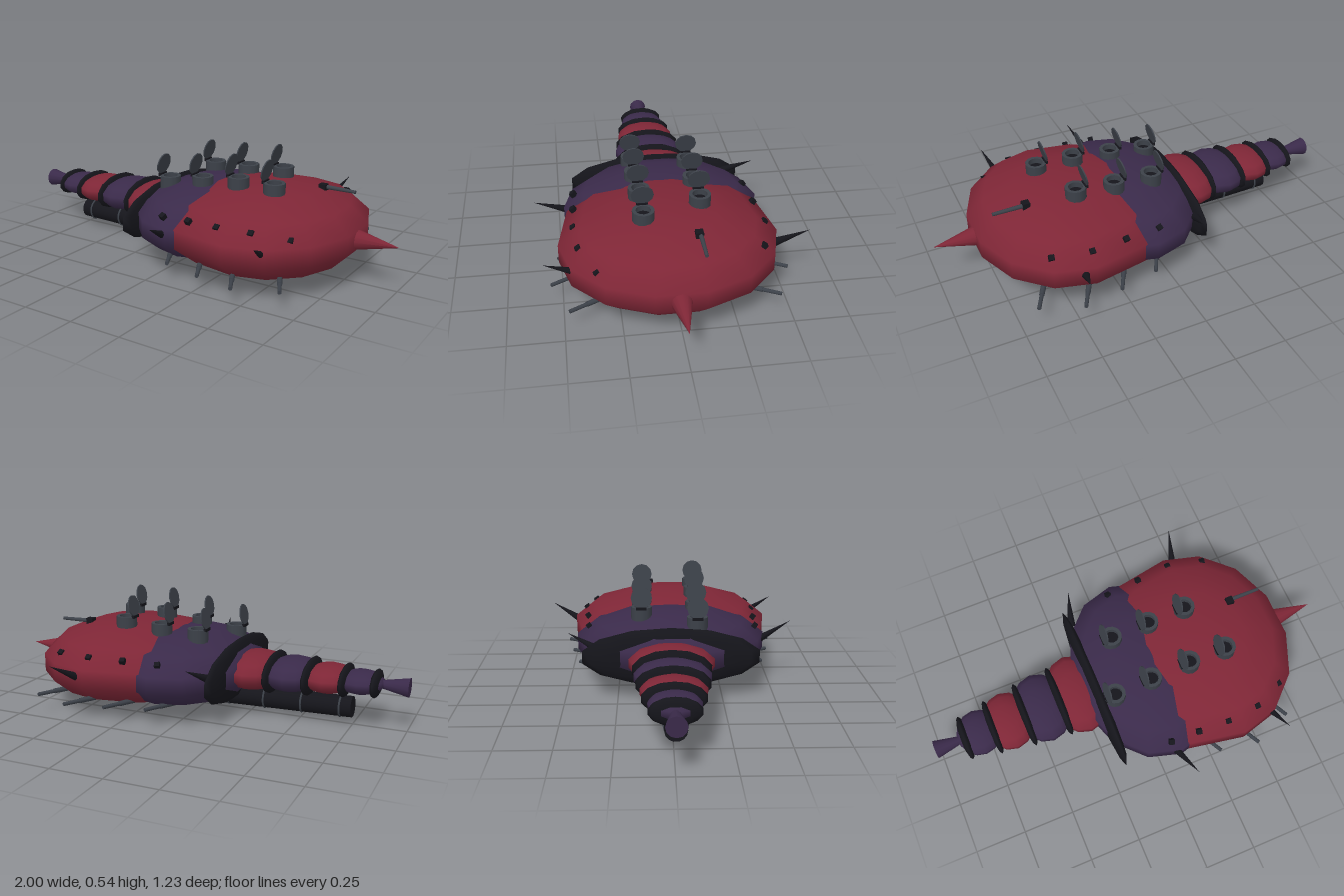
import * as THREE from 'three';

const mat = (color, side = THREE.FrontSide) => new THREE.MeshStandardMaterial({ color, side });
const RED = mat(0x7e2636), PURPLE = mat(0x3a2a4a), BLACK = mat(0x15151b);
const GREY = mat(0x3c4149, THREE.DoubleSide);
const V = (x, y, z) => new THREE.Vector3(x, y, z);

export function createModel() {
  const model = new THREE.Group();

  const add = (name, geometry, material, x = 0, y = 0, z = 0, parent = model) => {
    const mesh = new THREE.Mesh(geometry, material);
    mesh.name = name;
    mesh.position.set(x, y, z);
    parent.add(mesh);
    return mesh;
  };

  // Flattened ellipsoid; stretch lengthens its rear (-x) half
  const ellipsoid = (name, material, c, r, stretch = 1) => {
    const g = new THREE.SphereGeometry(1, 14, 7).rotateY(Math.PI / 2);
    g.scale(...r);
    const p = g.attributes.position;
    for (let i = 0; i < p.count; i++) if (p.getX(i) < 0) p.setX(i, p.getX(i) * stretch);
    return add(name, g, material, ...c);
  };

  // Round bar or cone between two points
  const bar = (name, material, a, b, ra, rb, sides = 8) => {
    const d = b.clone().sub(a);
    const m = add(name, new THREE.CylinderGeometry(rb, ra, d.length(), sides), material);
    m.position.copy(a).add(b).multiplyScalar(0.5);
    m.quaternion.setFromUnitVectors(V(0, 1, 0), d.normalize());
    return m;
  };

  // Hull
  ellipsoid('frontHull', RED, [0.405, 0.21, 0.012], [0.426, 0.198, 0.51], 1.5);
  ellipsoid('rearHull', PURPLE, [0.09, 0.21, 0.008], [0.37, 0.179, 0.475]);
  bar('noseSpike', RED, V(0.79, 0.21, 0.012), V(1, 0.21, 0.01), 0.05, 0, 12);

  // Tail segments: centre x, half length, half height, half width
  [
    [-0.27, 0.15, 0.088, 0.205, RED],
    [-0.455, 0.14, 0.078, 0.178, PURPLE],
    [-0.63, 0.125, 0.066, 0.148, RED],
    [-0.78, 0.11, 0.054, 0.115, PURPLE],
  ].forEach(([x, rx, ry, rz, m]) => ellipsoid('tailSegment', m, [x, 0.212, 0.004], [rx, ry, rz]));

  // Dark collars between the segments: x, half length, half height, half width
  [
    [-0.18, 0.037, 0.142, 0.43],
    [-0.365, 0.028, 0.096, 0.185],
    [-0.545, 0.026, 0.086, 0.168],
    [-0.71, 0.024, 0.074, 0.142],
    [-0.85, 0.024, 0.063, 0.113],
  ].forEach(([x, rx, ry, rz]) => ellipsoid('collar', BLACK, [x, 0.212, 0.004], [rx, ry, rz]));
  bar('tailFlare', PURPLE, V(-1, 0.21, 0.004), V(-0.84, 0.212, 0.004), 0.045, 0.012, 12);

  // Keel tube with clamp rings
  const keelStart = V(-0.745, 0.083, 0.01), keelEnd = V(0.46, 0.057, 0.01);
  bar('keelTube', BLACK, keelStart, keelEnd, 0.05, 0.05, 14);
  for (let i = 0; i < 7; i++) {
    const p = keelStart.clone().lerp(keelEnd, (0.055 + i * 0.185) / 1.205);
    add('keelRing', new THREE.TorusGeometry(0.05, 0.005, 6, 16).rotateY(Math.PI / 2), GREY, p.x, p.y, p.z);
  }

  // Deck silos with open lids: x, rim height, z
  [
    [-0.115, 0.39, 0.13], [0.07, 0.417, 0.13], [0.265, 0.443, 0.13], [0.45, 0.443, 0.13],
    [-0.025, 0.417, -0.135], [0.165, 0.428, -0.135], [0.355, 0.445, -0.135],
  ].forEach(([x, y, z]) => {
    const silo = new THREE.Group();
    silo.name = 'silo';
    silo.position.set(x, y, z);
    model.add(silo);
    const profile = [[0.05, -0.1], [0.05, 0], [0.034, 0], [0.034, -0.03]].map(p => new THREE.Vector2(...p));
    for (let i = 0; i < 3; i++) {
      add('siloWall', new THREE.LatheGeometry([profile[i], profile[i + 1]], 12), GREY, 0, 0, 0, silo);
    }
    add('siloFloor', new THREE.CylinderGeometry(0.034, 0.034, 0.004, 12), BLACK, 0, -0.028, 0, silo);
    add('siloHinge', new THREE.BoxGeometry(0.014, 0.014, 0.05), BLACK, -0.046, 0, 0, silo);
    const lid = add('siloLid', new THREE.CylinderGeometry(0.051, 0.051, 0.006, 12), GREY, -0.039, 0.052, 0, silo);
    lid.rotation.z = Math.PI / 2 - 0.2;
  });

  // Bow gun
  add('bowGunMount', new THREE.BoxGeometry(0.035, 0.035, 0.035), BLACK, 0.583, 0.386, -0.095);
  bar('bowGunBarrel', GREY, V(0.57, 0.39, -0.1), V(0.74, 0.388, -0.1), 0.011, 0.008);

  // Side guns, angled outwards: muzzle x and z
  const muzzles = [[0.1, 0.46], [0.29, 0.505], [0.48, 0.54], [0.67, 0.465]];
  for (const s of [1, -1]) {
    for (const [x, z] of muzzles) {
      const zo = s * z + 0.01, tip = V(x, 0.096, zo), base = V(x - 0.1, 0.094, zo - s * 0.19);
      bar('sideGunBarrel', GREY, base, tip, 0.01, 0.009);
      bar('sideGunSleeve', GREY, base, base.clone().lerp(tip, 0.6), 0.013, 0.012);
    }
  }

  // Thorns: base and tip
  [
    [0.06, 0.21, 0.43, 0.11, 0.3, 0.61],
    [0.555, 0.21, 0.41, 0.6, 0.3, 0.575],
    [0.447, 0.21, -0.455, 0.49, 0.3, -0.615],
    [-0.165, 0.24, -0.33, -0.12, 0.315, -0.485],
  ].forEach(([ax, ay, az, bx, by, bz]) => bar('thorn', BLACK, V(ax, ay, az), V(bx, by, bz), 0.021, 0, 8));

  // Portholes along both flanks: x, y, z
  [
    [0.05, 0.295, 0.425], [0.19, 0.3, 0.43], [0.34, 0.3, 0.435], [0.5, 0.3, 0.42], [0.65, 0.275, 0.35],
    [0.06, 0.295, -0.395], [0.23, 0.3, -0.41], [0.4, 0.3, -0.425], [0.575, 0.295, -0.385],
  ].forEach(([x, y, z]) => {
    const port = add('porthole', new THREE.BoxGeometry(0.025, 0.025, 0.025), BLACK, x, y, z);
    port.rotation.set(Math.sign(z) * 0.6, Math.sign(z) * (x - 0.4) * 0.8, 0);
  });

  return model;
}
